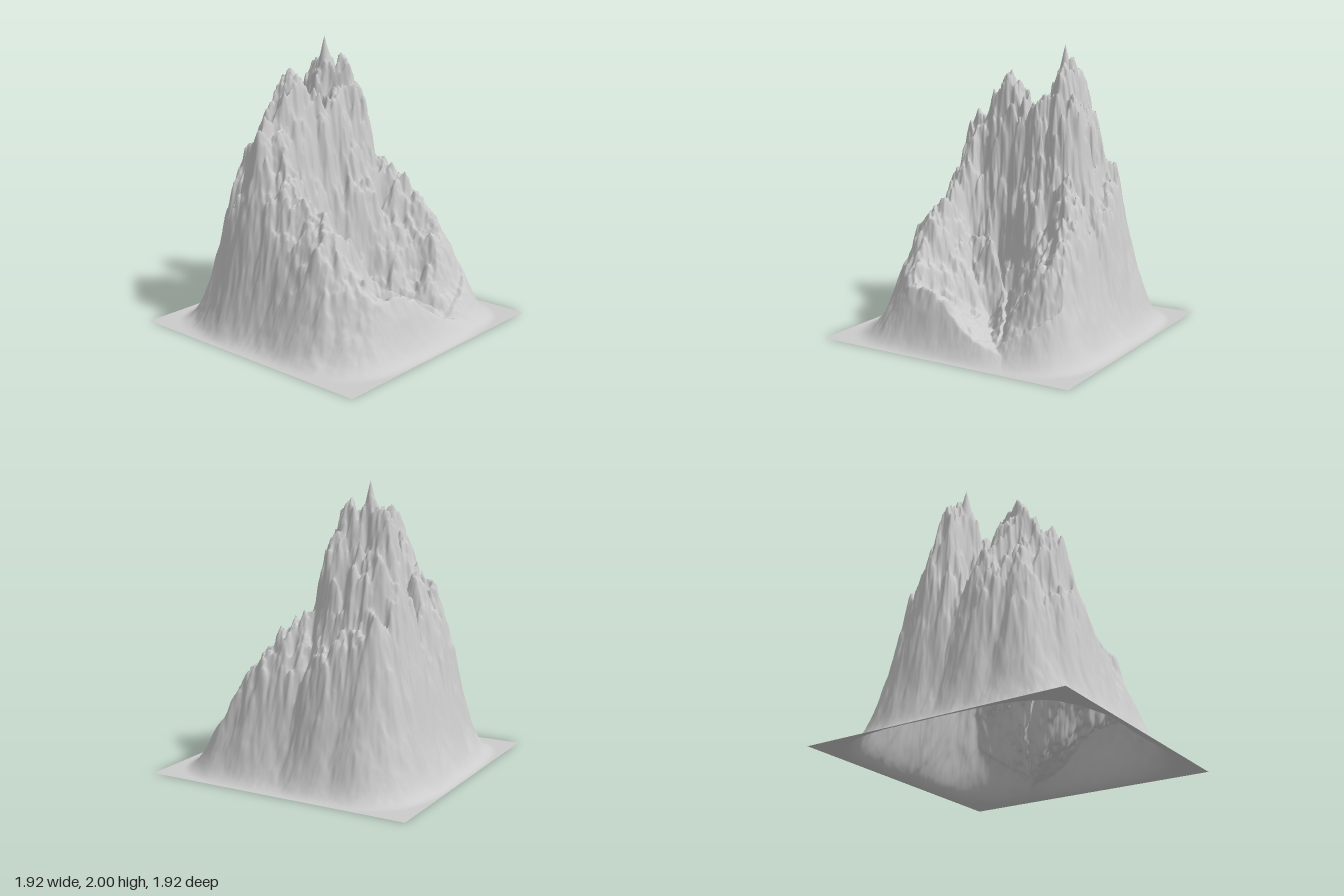
import * as THREE from 'three';

const HALF = 0.96, CELLS = 240;
const SUMMIT = [-0.32, -0.216];

// Crest lines of the mountain: half breadth of the top, then points of [x, z, height]
const crests = [
  // southern massif and its western buttresses
  { breadth: 0.05, line: [[-0.28, 0.42, 1.49], [-0.24, 0.24, 1.72], [-0.22, 0.05, 1.62]] },
  { breadth: 0.06, line: [[-0.24, 0.2, 1.7], [-0.48, 0.12, 1.34]] },
  { breadth: 0.06, line: [[-0.26, 0.36, 1.54], [-0.46, 0.36, 1.22]] },
  // northern massif with the main summit, and its northern shoulders
  { breadth: 0.05, line: [[-0.18, -0.29, 1.77], [-0.32, -0.24, 1.84], [-0.44, -0.26, 1.72], [-0.52, -0.29, 1.33]] },
  { breadth: 0.06, line: [[-0.4, -0.28, 1.72], [-0.48, -0.46, 1.14]] },
  { breadth: 0.06, line: [[-0.26, -0.3, 1.8], [-0.22, -0.46, 1.18]] },
  // rim above the valley, across the saddle
  { breadth: 0.02, line: [[-0.18, 0.43, 1.4], [-0.14, 0.1, 1.54], [-0.15, -0.02, 1.45], [-0.16, -0.15, 1.68], [-0.14, -0.31, 1.7]] },
  // north-east spur
  { breadth: 0.025, line: [[-0.14, -0.31, 1.7], [0.02, -0.43, 1.17], [0.35, -0.6, 0.78], [0.58, -0.69, 0.36]] },
  // south-east spur, curling round the mouth of the valley
  { breadth: 0.025, line: [[-0.18, 0.43, 1.4], [0.03, 0.45, 1.04], [0.32, 0.47, 0.86], [0.6, 0.45, 0.5],
    [0.71, 0.38, 0.41], [0.74, 0.2, 0.39], [0.82, -0.2, 0.13]] },
];

// Floor of the valley, from its head to its mouth: points of [x, z, height]
const valley = [[0.08, 0.27, 0.52], [0.1, 0.04, 0.36], [0.35, -0.16, 0.21], [0.85, -0.38, 0.08]];

const clamp = THREE.MathUtils.clamp;

// Smooth value noise in -1..1
function hash(i, j) {
  let n = Math.imul(i, 374761393) + Math.imul(j, 668265263);
  n = Math.imul(n ^ (n >>> 13), 1274126177);
  return ((n ^ (n >>> 16)) >>> 0) / 2147483648 - 1;
}
function noise(x, z) {
  const i = Math.floor(x), j = Math.floor(z);
  const s = (t) => t * t * (3 - 2 * t);
  const u = s(x - i), v = s(z - j);
  const a = hash(i, j) * (1 - u) + hash(i + 1, j) * u;
  const b = hash(i, j + 1) * (1 - u) + hash(i + 1, j + 1) * u;
  return a * (1 - v) + b * v;
}
function fbm(x, z, octaves) {
  let sum = 0, amp = 0.5;
  for (let o = 0; o < octaves; o++, amp *= 0.5) {
    sum += amp * noise(x, z);
    x = x * 2.03 + 17.3;
    z = z * 2.03 + 5.7;
  }
  return sum;
}

// Fade to the flat border along a rounded square
function fade(x, z) {
  const edge = (Math.abs(x) ** 4.2 + Math.abs(z) ** 4.2) ** (1 / 4.2);
  const t = clamp((0.96 - edge) / 0.36, 0, 1);
  return t * t * (3 - 2 * t);
}

// Nearest point on a segment, with its height and distance
function nearest([ax, az, ah], [bx, bz, bh], x, z) {
  const dx = bx - ax, dz = bz - az;
  const t = clamp(((x - ax) * dx + (z - az) * dz) / (dx * dx + dz * dz), 0, 1);
  const cx = ax + dx * t, cz = az + dz * t;
  return { cx, cz, h: ah + (bh - ah) * t, d: Math.hypot(x - cx, z - cz) };
}

// Slopes fall away from the crests, the highest slope wins; inside, they run down to the valley floor
function slopes(x, z, border) {
  let floor = { d: Infinity };
  for (let i = 0; i + 1 < valley.length; i++) {
    const p = nearest(valley[i], valley[i + 1], x, z);
    if (p.d < floor.d) floor = p;
  }
  let best = 0;
  for (const { breadth, line } of crests) {
    for (let i = 0; i + 1 < line.length; i++) {
      const { cx, cz, h, d: reach } = nearest(line[i], line[i + 1], x, z);
      const d = Math.max(0, reach - breadth);
      const outer = h * Math.max(0, 1 - d / 0.65) ** 1.5;
      const inner = floor.h + (h - floor.h) * floor.d / (floor.d + d + 1e-6);
      best = Math.max(best, Math.min(outer, inner) * Math.min(1, border / fade(cx, cz)));
    }
  }
  return best;
}

function heightAt(x, z) {
  const border = fade(x, z);
  if (border === 0) return 0;
  // Warping the ground plan cuts gullies down the slopes
  const wx = x + 0.06 * fbm(x * 9 + 3, z * 9, 4);
  const wz = z + 0.06 * fbm(x * 9 + 40, z * 9 + 11, 4);
  const h = slopes(wx, wz, border);
  const crag = 0.13 * fbm(x * 15 + 7, z * 15 + 23, 4) * clamp(h, 0, 1.2) * border;
  // Sharp tip of the summit
  const tip = 2 - 4.5 * Math.hypot(x - SUMMIT[0], z - SUMMIT[1]);
  return clamp(Math.max(h + crag, tip), 0, 2);
}

export function createModel() {
  const group = new THREE.Group();
  group.name = 'mountain';

  const geometry = new THREE.PlaneGeometry(2 * HALF, 2 * HALF, CELLS, CELLS);
  geometry.rotateX(-Math.PI / 2);
  const pos = geometry.attributes.position;
  for (let i = 0; i < pos.count; i++) pos.setY(i, heightAt(pos.getX(i), pos.getZ(i)));
  geometry.computeVertexNormals();

  const terrain = new THREE.Mesh(
    geometry,
    new THREE.MeshStandardMaterial({ color: 0xcccccc, side: THREE.DoubleSide }),
  );
  terrain.name = 'terrain';
  group.add(terrain);
  return group;
}
